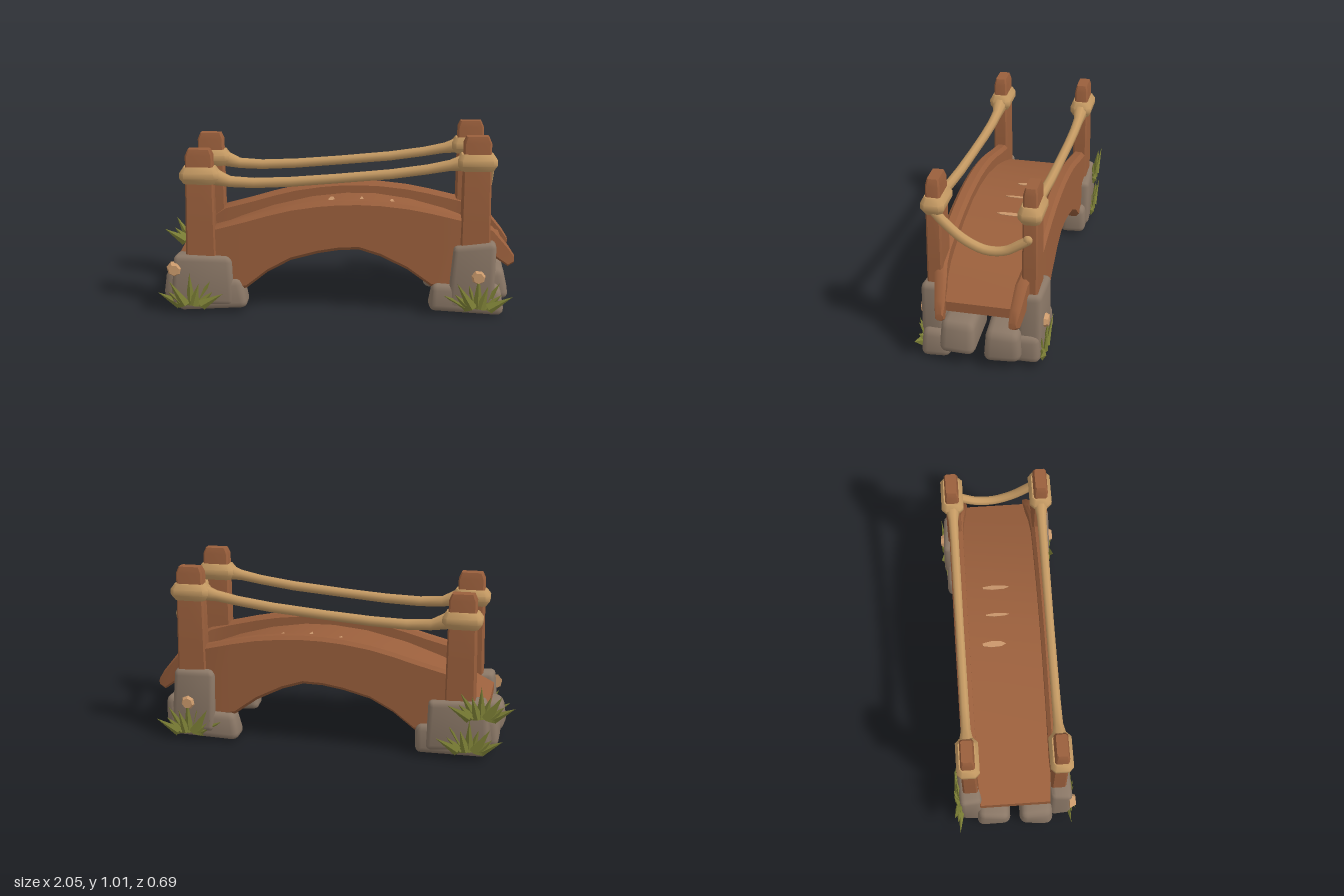
import * as THREE from 'three';
import { mergeVertices, toCreasedNormals } from 'three/addons/utils/BufferGeometryUtils.js';
import { RoundedBoxGeometry } from 'three/addons/geometries/RoundedBoxGeometry.js';

const mat = (name, color) => Object.assign(new THREE.MeshStandardMaterial({ color }), { name });

// Loft along x through chamfered rectangles: [x, yBottom, yTop, zCentre, zHalf]
function loft(sections, chamfer = 0.3, crease = 0.7) {
  const pos = [], idx = [], n = 8;
  for (const [x, y0, y1, zc, hz] of sections) {
    const cy = (y0 + y1) / 2, hy = (y1 - y0) / 2;
    const c = Math.min(hy, hz) * chamfer * 2, a = hy - c, b = hz - c;
    for (const [y, z] of [[hy, -b], [hy, b], [a, hz], [-a, hz], [-hy, b], [-hy, -b], [-a, -hz], [a, -hz]])
      pos.push(x, cy + y, zc + z);
  }
  const last = sections.length - 1;
  for (let i = 0; i < last; i++)
    for (let j = 0; j < n; j++) {
      const k = (j + 1) % n, a = i * n, d = a + n;
      idx.push(a + j, a + k, d + j, a + k, d + k, d + j);
    }
  for (let j = 1; j < n - 1; j++) {
    idx.push(0, j + 1, j);
    idx.push(last * n, last * n + j, last * n + j + 1);
  }
  const g = new THREE.BufferGeometry();
  g.setAttribute('position', new THREE.Float32BufferAttribute(pos, 3));
  g.setIndex(idx);
  return toCreasedNormals(g, crease);
}

// Upright loft: [height, halfWidth, halfDepth]
const upright = (rings, chamfer) =>
  loft(rings.map(([h, hx, hz]) => [h, -hx, hx, 0, hz]), chamfer).rotateZ(Math.PI / 2);

// Rounded boulder filling a box, a little narrower at the top and uneven
function boulder(x0, x1, y0, y1, z0, z1, seed) {
  const w = x1 - x0, h = y1 - y0, d = z1 - z0;
  let g = new RoundedBoxGeometry(w, h, d, 2, Math.min(w, h, d) * 0.24);
  g.deleteAttribute('normal');
  g.deleteAttribute('uv');
  g = mergeVertices(g, 1e-4);
  const p = g.attributes.position;
  for (let i = 0; i < p.count; i++) {
    const x = p.getX(i), y = p.getY(i), z = p.getZ(i), taper = 1 - 0.1 * (y / h + 0.5);
    p.setXYZ(i,
      x * taper + 0.01 * Math.sin(seed + y * 14 + z * 9),
      y + 0.012 * Math.sin(seed * 2 + x * 11),
      z * taper + 0.006 * Math.sin(seed * 3 + x * 9));
  }
  g.translate((x0 + x1) / 2, (y0 + y1) / 2, (z0 + z1) / 2);
  return toCreasedNormals(g, 0.75);
}

export function createModel() {
  const root = new THREE.Group();
  root.name = 'footbridge';
  const wood = mat('wood', 0x9a5f3c), rope = mat('rope', 0xc59a63), stone = mat('stone', 0x8a7766);
  const leaf = mat('grass', 0x7f8237), worn = mat('wornWood', 0xc8956a), cap = mat('mushroom', 0xcb9a6c);
  const add = (name, geo, material, x = 0, y = 0, z = 0) => {
    const m = new THREE.Mesh(geo, material);
    m.name = name;
    m.position.set(x, y, z);
    root.add(m);
    return m;
  };

  // Arched deck: [x, top height, thickness, half width]
  const deck = [[-0.9, 0.28, 0.055, 0.2], [-0.75, 0.355, 0.06, 0.21], [-0.58, 0.425, 0.07, 0.21],
    [-0.38, 0.495, 0.08, 0.21], [-0.15, 0.55, 0.085, 0.21], [0.05, 0.572, 0.085, 0.21],
    [0.22, 0.57, 0.085, 0.21], [0.42, 0.54, 0.08, 0.21], [0.62, 0.485, 0.07, 0.21],
    [0.78, 0.425, 0.06, 0.21], [0.94, 0.36, 0.055, 0.19]];
  add('deck', loft(deck.map(([x, y, t, w]) => [x, y - t, y, 0, w]), 0.08, 0.3), wood);

  // Worn patches lying on the deck
  for (const [x, z, len, wid] of [[-0.035, -0.065, 0.07, 0.018], [0.14, -0.035, 0.07, 0.01], [0.315, -0.035, 0.08, 0.014]]) {
    const i = deck.findIndex((s) => s[0] > x), a = deck[i - 1], b = deck[i];
    const slope = (b[1] - a[1]) / (b[0] - a[0]);
    const g = new THREE.CylinderGeometry(1, 1, 0.006, 7).scale(wid, 1, len);
    add('wornPatch', g, worn, x, a[1] + slope * (x - a[0]), z).rotation.z = Math.atan(slope);
  }

  for (const s of [1, -1]) {
    // Arched side beam with a tail bending inwards past the right post
    add('sideBeam', loft([
      [-0.8, 0.16, 0.4, 0.245, 0.035], [-0.67, 0.1, 0.49, 0.243, 0.04], [-0.5, 0.13, 0.535, 0.243, 0.04],
      [-0.38, 0.225, 0.57, 0.243, 0.04], [-0.25, 0.295, 0.602, 0.243, 0.04], [-0.1, 0.335, 0.625, 0.243, 0.04],
      [0.02, 0.355, 0.635, 0.243, 0.04], [0.13, 0.358, 0.637, 0.243, 0.04], [0.25, 0.32, 0.632, 0.243, 0.04],
      [0.4, 0.245, 0.615, 0.243, 0.04], [0.53, 0.15, 0.59, 0.243, 0.04], [0.7, 0.12, 0.55, 0.243, 0.04],
      [0.8, 0.35, 0.52, 0.23, 0.036], [0.87, 0.32, 0.48, 0.212, 0.032], [0.96, 0.255, 0.37, 0.197, 0.027],
      [0.995, 0.275, 0.315, 0.192, 0.02],
    ].map(([x, a, b, z, h]) => [x, a, b, z * s, h]), 0.25), wood);

    // Posts with a rope binding round each
    for (const [x, top, bind] of [[-0.75, 0.92, 0.775], [0.77, 1, 0.857]]) {
      add('post', upright([[0.2, 0.086, 0.043], [0.5, 0.081, 0.042], [top - 0.035, 0.075, 0.038],
        [top, 0.06, 0.03]], 0.12), wood, x, 0, s * 0.25);
      add('ropeBinding', upright([[-0.047, 0.086, 0.046], [-0.015, 0.108, 0.062], [0.015, 0.108, 0.062],
        [0.047, 0.086, 0.046]], 0.2), rope, x, bind, s * 0.25);
    }

    // Handrail rope, swelling into the bindings: [x, centre height, radius]
    add('handrailRope', loft([[-0.72, 0.775, 0.047], [-0.65, 0.76, 0.042], [-0.58, 0.737, 0.029],
      [-0.45, 0.73, 0.027], [-0.25, 0.738, 0.026], [0, 0.758, 0.025], [0.3, 0.785, 0.026],
      [0.5, 0.813, 0.026], [0.62, 0.836, 0.029], [0.68, 0.85, 0.04], [0.74, 0.857, 0.045],
    ].map(([x, y, r]) => [x, y - r, y + r, s * 0.25, r * 0.9]), 0.29, 1.2), rope);

    // Footing stones: outer pairs round the posts and inner ones under the deck ends
    const outer = (...b) => s > 0 ? [b[0], b[1], b[2], b[3], b[4], b[5]] : [b[0], b[1], b[2], b[3], -b[5], -b[4]];
    [[-0.92, -0.565, 0.04, 0.325, 0.19, 0.325], [-0.9, -0.5, 0.01, 0.18, 0.16, 0.315],
      [-0.975, -0.58, 0.03, 0.21, 0.025, 0.22],
      [0.63, 0.89, 0.04, 0.405, 0.19, 0.325], [0.51, 0.93, 0.005, 0.165, 0.16, 0.32],
      [0.58, 0.97, 0.045, 0.225, 0.02, 0.22],
    ].forEach((b, i) => add('footingStone', boulder(...outer(...b), i * 1.7 + s), stone));

    // Grass tufts fanned over the outer faces
    const tuft = (cx, cy, size) => {
      for (let i = 0; i < 9; i++) {
        const f = (i - 4) / 4, h = size * (1 - 0.25 * Math.abs(f) - (i % 2) * 0.22);
        const g = new THREE.ConeGeometry(0.032, h, 4, 1).scale(1, 1, 0.5).translate(0, h / 2, 0);
        g.rotateZ(-f * 1.05).rotateX(s * 0.12);
        add('grassBlade', toCreasedNormals(g, 0.4), leaf, cx + f * 0.06, cy, s * (0.31 + (i % 3) * 0.008));
      }
    };
    tuft(-0.81, 0.045, 0.19);
    tuft(0.79, 0.04, 0.2);
    if (s < 0) tuft(-0.87, 0.24, 0.19);

    // Small mushrooms on the stones
    const spots = s > 0 ? [[-0.895, 0.25], [0.79, 0.22]] : [[0.79, 0.22]];
    for (const [x, y] of spots) {
      const g = new THREE.CylinderGeometry(0.03, 0.047, 0.035, 7).rotateX(s * Math.PI / 2);
      add('mushroom', toCreasedNormals(g, 0.5), cap, x, y, s * 0.325);
    }
  }

  // Slack rope hung across the right-hand end
  const sag = new THREE.CatmullRomCurve3([[0.25, 0.83], [0.19, 0.765], [0.09, 0.68], [-0.02, 0.633],
    [-0.12, 0.64], [-0.19, 0.68], [-0.25, 0.72]].map(([z, y]) => new THREE.Vector3(0.84, y, z)));
  add('endRope', new THREE.TubeGeometry(sag, 18, 0.026, 8), rope);
  const end = new THREE.SphereGeometry(0.028, 8, 6);
  add('endRopeKnot', end, rope, 0.84, 0.72, -0.24);

  return root;
}
